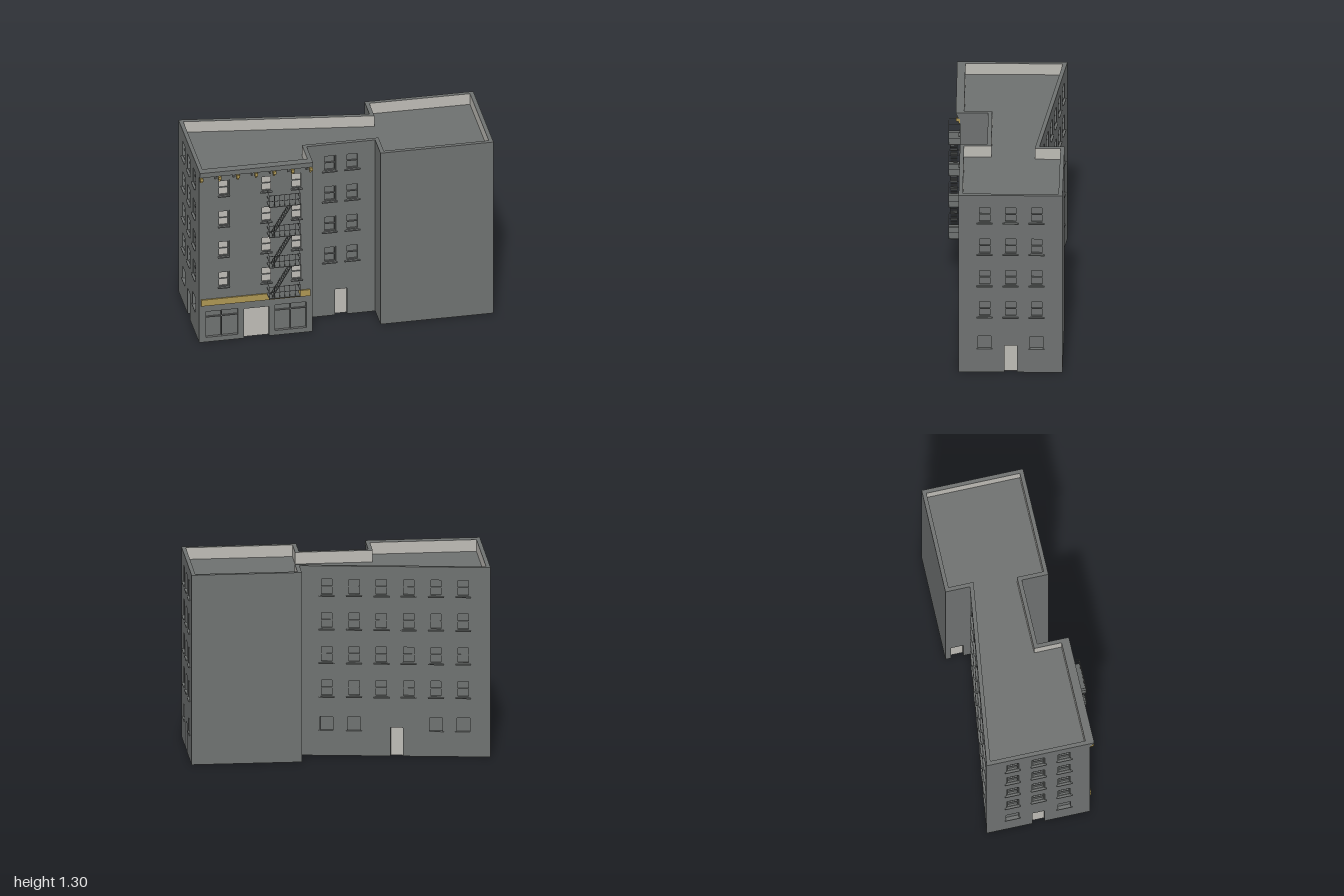
import * as THREE from 'three';

const mat = (name, color) => {
  const m = new THREE.MeshStandardMaterial({ color });
  m.name = name;
  return m;
};

const H = 1.3, ROOF = 1.22, T = 0.027;

export function createModel() {
  const masonry = mat('grey masonry', 0x6e7170);
  const plaster = mat('pale plaster', 0xbdbbb5);
  const gold = mat('gold trim', 0xad9653);
  const iron = mat('iron grey', 0x636665);

  const root = new THREE.Group();
  root.name = 'cornerBuilding';

  const add = (parent, name, geo, m, x = 0, y = 0, z = 0) => {
    const mesh = new THREE.Mesh(geo, m);
    mesh.name = name;
    mesh.position.set(x, y, z);
    parent.add(mesh);
    return mesh;
  };
  const box = (parent, name, m, x0, x1, y0, y1, z0, z1) =>
    add(parent, name, new THREE.BoxGeometry(x1 - x0, y1 - y0, z1 - z0), m,
      (x0 + x1) / 2, (y0 + y1) / 2, (z0 + z1) / 2);

  // Openings in wall coordinates: u along the wall, y up, z = 0 on the outer face
  const rows = [0.405, 0.636, 0.867, 1.098];
  const sash = (u, y, pale = false, w = 0.085) =>
    ({ kind: 'window', u0: u - w / 2, u1: u + w / 2, y0: y, y1: y + 0.118, pale });
  const small = u => ({ kind: 'smallWindow', u0: u - 0.043, u1: u + 0.043, y0: 0.172, y1: 0.265 });
  const door = (u, w = 0.082, h = 0.195) => ({ kind: 'door', u0: u - w / 2, u1: u + w / 2, y0: 0, y1: h });
  const shop = (u0, u1) => ({ kind: 'shopfront', u0, u1, y0: 0.035, y1: 0.23 });
  const grid = (us, pale, w) => us.flatMap(u => rows.map(y => sash(u, y, pale, w)));
  const spaced = (L, n) => Array.from({ length: n }, (_, i) => (L * (i + 1)) / (n + 1));

  const sideWall = L => {
    const c = spaced(L, 3);
    return [...grid(c), small(c[0]), small(c[2]), door(c[1])];
  };
  const backWall = L => {
    const c = spaced(L, 6);
    return [...grid(c), ...[0, 1, 4, 5].map(i => small(c[i])), door(L * 0.51)];
  };

  // Footprint corners [x, z], each with the openings of the wall that starts there
  const plan = [
    [-0.99, 0.31, 'frontWall', () => [...grid([0.165, 0.452, 0.655], true, 0.075),
      door(0.385, 0.17, 0.25), shop(0.045, 0.26), shop(0.51, 0.72)]],
    [-0.23, 0.31, 'courtLeftWall', () => [door(0.09)]],
    [-0.23, 0.125, 'courtWall', L => [...grid(spaced(L, 2)), door(L / 2)]],
    [0.23, 0.125, 'courtRightWall', () => []],
    [0.23, 0.305, 'wingFrontWall', () => []],
    [0.99, 0.305, 'rightWall', sideWall],
    [0.99, -0.38, 'wingBackWall', () => []],
    [0.26, -0.385, 'wingReturnWall', () => [door(0.08)]],
    [0.26, -0.22, 'slantedBackWall', backWall],
    [-0.99, -0.39, 'leftWall', sideWall],
  ];
  const N = plan.length;
  const angle = i => {
    const a = plan[(i + N) % N], b = plan[(i + 1 + N) % N];
    return Math.atan2(a[1] - b[1], b[0] - a[0]);
  };
  // Mitre inset at corner i
  const mitre = i => {
    const d = angle(i) - angle(i - 1);
    return T * Math.tan(Math.atan2(Math.sin(d), Math.cos(d)) / 2);
  };

  // Wall elevation: doors are notches in the base, the rest are holes
  const elevation = (u0, u1, openings) => {
    const s = new THREE.Shape();
    s.moveTo(u0, 0);
    openings.filter(o => o.y0 === 0).sort((a, b) => a.u0 - b.u0).forEach(o => {
      s.lineTo(o.u0, 0); s.lineTo(o.u0, o.y1); s.lineTo(o.u1, o.y1); s.lineTo(o.u1, 0);
    });
    s.lineTo(u1, 0); s.lineTo(u1, H); s.lineTo(u0, H); s.closePath();
    openings.filter(o => o.y0 > 0).forEach(o => {
      const h = new THREE.Path();
      h.moveTo(o.u0, o.y0); h.lineTo(o.u0, o.y1); h.lineTo(o.u1, o.y1); h.lineTo(o.u1, o.y0);
      h.closePath();
      s.holes.push(h);
    });
    return s;
  };

  const fillOpening = (wall, o) => {
    const { u0, u1, y0, y1, kind } = o, g = new THREE.Group(), mid = (y0 + y1) / 2;
    g.name = kind;
    wall.add(g);
    if (kind === 'door') {
      const wide = u1 - u0 > 0.1, top = wide ? 0.22 : y1;
      box(g, 'doorBack', masonry, u0, u1, 0, top, -T - 0.001, -T + 0.002);
      box(g, 'doorLeaf', plaster, u0, u1, 0, top, -T + 0.002, -T + 0.005);
      if (wide) box(g, 'transom', masonry, u0, u1, top, y1, -T, -0.006);
      return;
    }
    box(g, 'paneBack', masonry, u0, u1, y0, y1, -T - 0.001, -0.019);
    if (kind === 'shopfront') {
      const w = (u1 - u0) / 2;
      box(g, 'mullion', masonry, u0 + w - 0.004, u0 + w + 0.004, y0, y1, -0.019, -0.009);
      box(g, 'rail', masonry, u0, u1, 0.18, 0.187, -0.019, -0.009);
      return;
    }
    if (o.pale) box(g, 'pane', plaster, u0, u1, y0, y1, -0.019, -0.017);
    if (kind === 'window') {
      // Sash frame with a stepped lower half
      const f = 0.008;
      box(g, 'stile', masonry, u0, u0 + f, y0, y1, -0.019, -0.006);
      box(g, 'stile', masonry, u1 - f, u1, y0, y1, -0.019, -0.006);
      box(g, 'topRail', masonry, u0 + f, u1 - f, y1 - f, y1, -0.019, -0.006);
      box(g, 'bottomRail', masonry, u0 + f, u1 - f, y0, y0 + f, -0.019, -0.006);
      box(g, 'meetingRail', masonry, u0 + f, u1 - f, mid - 0.003, mid + 0.003, -0.019, -0.01);
    }
    const e = o.pale ? 0.002 : 0.01;
    box(g, 'sill', masonry, u0 - e, u1 + e, y0 - 0.007, y0, -0.01, kind === 'window' ? 0.01 : 0.006);
  };

  const inner = [];
  plan.forEach(([x, z, name, make], i) => {
    const [x2, z2] = plan[(i + 1) % N];
    const L = Math.hypot(x2 - x, z2 - z), a = angle(i);
    const m0 = mitre(i), m1 = L - mitre(i + 1 === N ? 0 : i + 1);
    const openings = make(L);
    const wall = new THREE.Group();
    wall.name = name;
    wall.position.set(x, 0, z);
    wall.rotation.y = a;
    root.add(wall);

    // Masonry slab with mitred inner corners
    const geo = new THREE.ExtrudeGeometry(elevation(0, L, openings), { depth: T, bevelEnabled: false });
    geo.translate(0, 0, -T);
    const p = geo.attributes.position;
    for (let k = 0; k < p.count; k++) {
      if (p.getZ(k) > -T / 2) continue;
      if (p.getX(k) < 1e-5) p.setX(k, m0);
      else if (p.getX(k) > L - 1e-5) p.setX(k, m1);
    }
    geo.computeVertexNormals();
    add(wall, 'masonry', geo, masonry);

    // Pale inner lining, turned to face indoors
    const lining = new THREE.ShapeGeometry(elevation(m0, m1, openings));
    const idx = lining.index.array;
    for (let k = 0; k < idx.length; k += 3) [idx[k], idx[k + 1]] = [idx[k + 1], idx[k]];
    lining.computeVertexNormals();
    add(wall, 'lining', lining, plaster, 0, 0, -T - 0.0008);

    openings.forEach(o => fillOpening(wall, o));
    inner.push(new THREE.Vector2(x + m0 * Math.cos(a) - T * Math.sin(a),
      -(z - m0 * Math.sin(a) - T * Math.cos(a))));
  });

  // Roof deck behind the parapet, and the ceiling beneath it
  const deck = new THREE.ShapeGeometry(new THREE.Shape(inner));
  add(root, 'roofDeck', deck.clone().rotateX(-Math.PI / 2), masonry, 0, ROOF, 0);
  const under = deck.clone().rotateX(-Math.PI / 2), ui = under.index.array;
  for (let k = 0; k < ui.length; k += 3) [ui[k], ui[k + 1]] = [ui[k + 1], ui[k]];
  under.computeVertexNormals();
  add(root, 'ceiling', under, plaster, 0, ROOF - 0.006, 0);

  // Shop sign band and stepped cornice on gold brackets
  box(root, 'signBand', gold, -0.978, -0.245, 0.278, 0.325, 0.31, 0.319);
  [[1.285, 1.3, 0.338], [1.27, 1.285, 0.33], [1.256, 1.27, 0.322]].forEach(([y0, y1, z]) =>
    box(root, 'cornice', masonry, -0.99, -0.23, y0, y1, 0.309, z));
  for (let i = 0; i < 7; i++) {
    const x = -0.978 + i * 0.1227;
    box(root, 'bracketTop', gold, x - 0.01, x + 0.01, 1.235, 1.257, 0.309, 0.336);
    box(root, 'bracketFoot', gold, x - 0.006, x + 0.006, 1.218, 1.235, 0.309, 0.322);
    if (i < 6) box(root, 'dentil', masonry, x + 0.09, x + 0.1, 1.238, 1.256, 0.309, 0.324);
  }

  // Fire escape: four railed landings joined by open stairs
  const escape = new THREE.Group();
  escape.name = 'fireEscape';
  root.add(escape);
  const X0 = -0.535, X1 = -0.325, Z0 = 0.309, Z1 = 0.388, r = 0.0015;
  const landings = [0.322, 0.555, 0.786, 1.016];
  landings.forEach((y, n) => {
    box(escape, 'landing', iron, X0, X1, y, y + 0.004, Z0, Z1);
    [0.045, 0.088].forEach(h => {
      box(escape, 'frontRail', iron, X0, X1, y + h, y + h + 2 * r, Z1 - 2 * r, Z1);
      [X0, X1 - 2 * r].forEach(x => box(escape, 'endRail', iron, x, x + 2 * r, y + h, y + h + 2 * r, Z0, Z1));
    });
    for (let i = 0; i <= 6; i++) {
      const x = X0 + r + ((X1 - X0 - 2 * r) * i) / 6;
      box(escape, 'baluster', iron, x - r, x + r, y, y + 0.09, Z1 - 2 * r, Z1);
    }
    if (n === 3) return;
    const rise = landings[n + 1] - y, run = 0.135, sx = -0.515;
    for (let i = 1; i < 14; i++) {
      const x = sx + (run * i) / 14, ty = y + (rise * i) / 14;
      box(escape, 'tread', iron, x - 0.006, x + 0.006, ty, ty + 0.003, 0.33, 0.376);
    }
    [0.33, 0.376].forEach(z => {
      const s = add(escape, 'stringer', new THREE.BoxGeometry(Math.hypot(run, rise), 0.005, 0.002), iron,
        sx + run / 2, y + rise / 2, z);
      s.rotation.z = Math.atan2(rise, run);
    });
  });

  return root;
}
